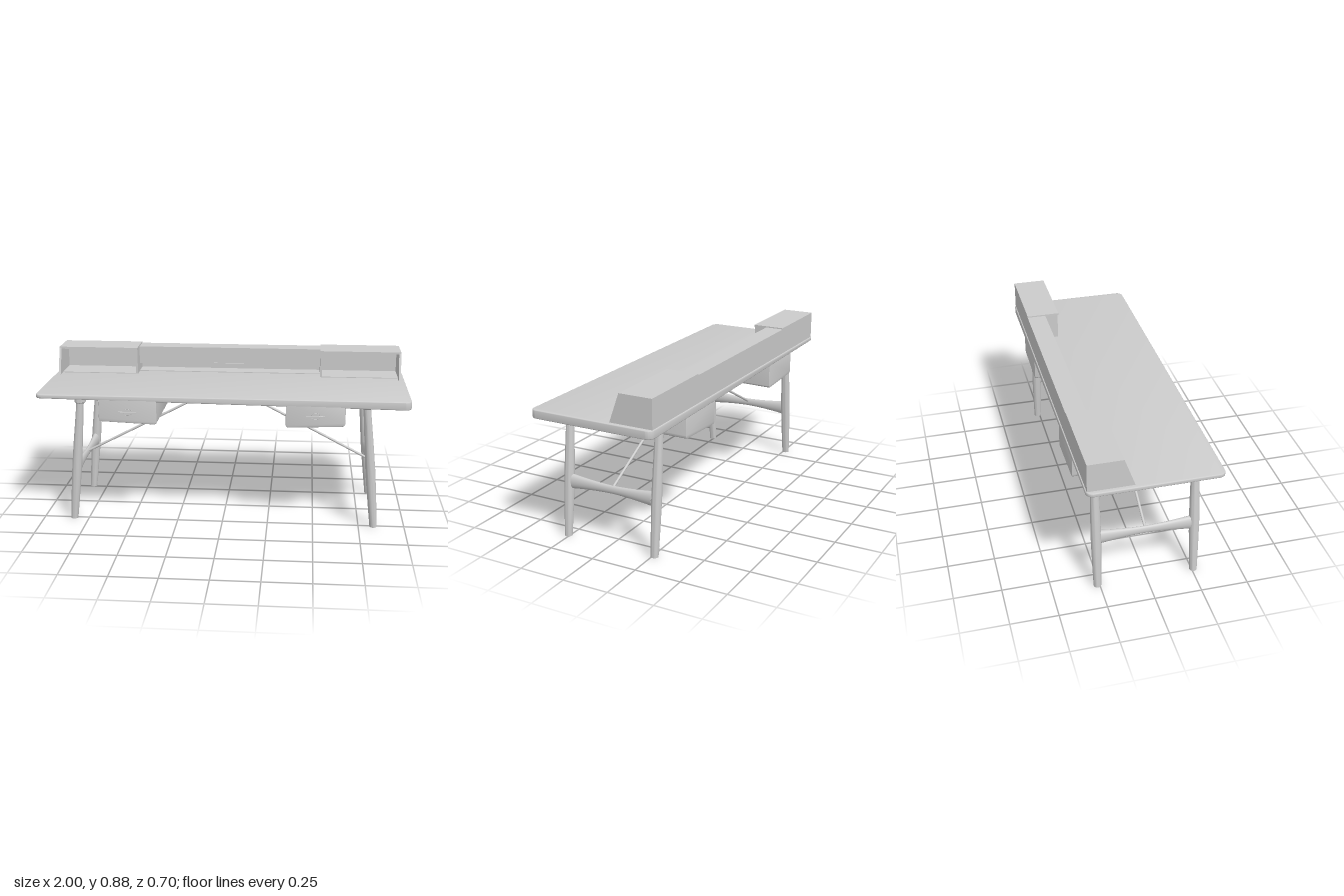
import * as THREE from 'three';
import { toCreasedNormals } from 'three/addons/utils/BufferGeometryUtils.js';

const grey = new THREE.MeshStandardMaterial({ color: 0xcccccc });

function add(parent, name, geometry) {
  const mesh = new THREE.Mesh(geometry, grey);
  mesh.name = name;
  parent.add(mesh);
  return mesh;
}

// Box given by its limits on each axis
function slab(parent, name, [x0, x1], [y0, y1], [z0, z1]) {
  const mesh = add(parent, name, new THREE.BoxGeometry(x1 - x0, y1 - y0, z1 - z0));
  mesh.position.set((x0 + x1) / 2, (y0 + y1) / 2, (z0 + z1) / 2);
  return mesh;
}

function roundedRect(x0, x1, y0, y1, r) {
  const s = new THREE.Shape();
  s.absarc(x1 - r, y1 - r, r, 0, Math.PI / 2);
  s.absarc(x0 + r, y1 - r, r, Math.PI / 2, Math.PI);
  s.absarc(x0 + r, y0 + r, r, Math.PI, Math.PI * 1.5);
  s.absarc(x1 - r, y0 + r, r, Math.PI * 1.5, Math.PI * 2);
  s.closePath();
  return s;
}

// Moves each vertex height by a rule
function reshapeY(geometry, rule) {
  const p = geometry.attributes.position;
  for (let i = 0; i < p.count; i++) p.setY(i, rule(p.getX(i), p.getY(i), p.getZ(i)));
  return toCreasedNormals(geometry, 0.6);
}

// Top with rounded corners, its underside slightly sloped along x
function makeDesktop(group) {
  const b = 0.005;
  const g = new THREE.ExtrudeGeometry(roundedRect(-1 + b, 1 - b, -0.34 + b, 0.35 - b, 0.03), {
    depth: 0.045 - 2 * b, bevelEnabled: true, bevelSize: b, bevelThickness: b, bevelSegments: 3, curveSegments: 8,
  });
  g.rotateX(-Math.PI / 2);
  g.translate(0, 0.687 + b, 0);
  add(group, 'desktop', reshapeY(g, (x, y) => (y < 0.71 ? y + 0.012 * (1 - x) : y)));
}

// Under-desk drawer with rounded lower edges and a slim pull
function makeDrawer(group, side) {
  const drawer = new THREE.Group();
  drawer.name = side > 0 ? 'leftDrawer' : 'rightDrawer';
  const x0 = 0.343, x1 = 0.657, r = 0.02, bottom = 0.58;
  const s = new THREE.Shape();
  s.moveTo(side * x0, 0.715);
  s.lineTo(side * x0, bottom + r);
  s.quadraticCurveTo(side * x0, bottom, side * (x0 + r), bottom);
  s.lineTo(side * (x1 - r), bottom);
  s.quadraticCurveTo(side * x1, bottom, side * x1, bottom + r);
  s.lineTo(side * x1, 0.715);
  s.closePath();
  const g = new THREE.ExtrudeGeometry(s, {
    depth: 0.675, bevelEnabled: true, bevelThickness: 0.006, bevelSize: 0.006, bevelOffset: -0.006, bevelSegments: 2, curveSegments: 6,
  });
  g.translate(0, 0, -0.341);
  add(drawer, 'drawerBox', reshapeY(g, (x, y, z) =>
    (y < 0.65 ? y + 0.04 * (Math.abs(x) - 0.5) + 0.014 * z : y)));
  slab(drawer, 'drawerPull', [side * 0.5 - 0.05, side * 0.5 + 0.05], [0.641, 0.648], [0.335, 0.351]);
  const ring = add(drawer, 'pullRing', new THREE.TorusGeometry(0.024, 0.0015, 6, 28));
  ring.scale.y = 0.75;
  ring.position.set(side * 0.5, 0.645, 0.34);
  group.add(drawer);
}

function rod(parent, name, from, to, radius) {
  const dir = to.clone().sub(from);
  const mesh = add(parent, name, new THREE.CylinderGeometry(radius, radius, dir.length(), 12));
  mesh.position.copy(from).add(to).multiplyScalar(0.5);
  mesh.quaternion.setFromUnitVectors(new THREE.Vector3(0, 1, 0), dir.normalize());
}

// One end frame: two splayed turned legs, a waisted stretcher and a brace
function makeLegFrame(group, side) {
  const frame = new THREE.Group();
  frame.name = side > 0 ? 'leftLegFrame' : 'rightLegFrame';
  const profile = [[0, 0], [0.02, 0], [0.023, 0.1], [0.026, 0.24], [0.027, 0.32], [0.025, 0.45], [0.022, 0.58], [0.02, 0.674]];
  const pts = profile.map(([r, y]) => new THREE.Vector2(r, y));
  const legX = (y) => side * (0.832 - 0.088 * y);
  for (const z of [0.258, -0.262]) {
    const leg = new THREE.LatheGeometry(pts, 24);
    const p = leg.attributes.position;
    for (let i = 0; i < p.count; i++) p.setX(i, p.getX(i) + legX(p.getY(i)));
    leg.computeVertexNormals();
    add(frame, 'leg', toCreasedNormals(leg, 0.6)).position.z = z;
    const collar = add(frame, 'legCollar', toCreasedNormals(new THREE.LatheGeometry(
      [[0, 0], [0.026, 0], [0.031, 0.006], [0.031, 0.044], [0, 0.044]].map((a) => new THREE.Vector2(...a)), 24), 0.6));
    collar.position.set(legX(0.68), 0.671, z);
  }
  const waist = [];
  for (let i = 0; i <= 16; i++) {
    const t = i / 8 - 1;
    waist.push(new THREE.Vector2(0.022 + 0.018 * Math.pow(Math.abs(t), 1.7), t * 0.238));
  }
  const stretcher = add(frame, 'stretcher', new THREE.LatheGeometry(waist, 24).rotateX(Math.PI / 2));
  stretcher.scale.x = 0.55;
  stretcher.position.set(legX(0.301), 0.301, -0.002);
  rod(frame, 'diagonalBrace', new THREE.Vector3(side * 0.035, 0.708, -0.003),
    new THREE.Vector3(side * 0.795, 0.312, -0.003), 0.007);
  group.add(frame);
}

// Upright panel cut from a (z, y) outline and given a thickness along x
function upright(parent, name, outline, x0, x1) {
  const s = new THREE.Shape(outline.map(([z, y]) => new THREE.Vector2(-z, y)));
  const g = new THREE.ExtrudeGeometry(s, { depth: x1 - x0, bevelEnabled: false });
  g.rotateY(Math.PI / 2);
  add(parent, name, g).position.x = x0;
}

// Raised organiser: two open cubbies around a lower, set-back centre
function makeHutch(group) {
  const hutch = new THREE.Group();
  hutch.name = 'hutch';
  const base = 0.73, top = 0.885, back = -0.344, out = 0.978, inn = 0.525, t = 0.012;
  slab(hutch, 'backPanel', [-out, out], [base, 0.874], [back, back + t]);
  for (const side of [1, -1]) {
    const span = (a, b) => (side > 0 ? [a, b] : [-b, -a]);
    upright(hutch, 'slopedEndPanel', [[back, base], [-0.108, base], [-0.162, top - 0.004], [back, top - 0.004]],
      ...span(out - t, out));
    slab(hutch, 'cubbyDivider', span(inn, inn + t), [base, top - 0.004], [back, -0.168]);
    slab(hutch, 'cubbyTop', span(inn, out), [top - t, top], [back, -0.163]);
    slab(hutch, 'cubbyFloor', span(inn + t, out - t), [base, base + 0.006], [back + t, -0.168]);
  }
  slab(hutch, 'centreTop', [-inn, inn], [0.866, 0.878], [back, -0.24]);
  slab(hutch, 'centreShelf', [-inn, inn], [0.778, 0.787], [back + t, -0.244]);
  slab(hutch, 'centreFlap', [-inn, inn], [0.78, 0.868], [-0.255, -0.243]);
  slab(hutch, 'centreFloor', [-inn, inn], [base, base + 0.006], [back + t, -0.24]);
  slab(hutch, 'flapPull', [-0.09, 0.086], [0.779, 0.788], [-0.245, -0.234]);
  group.add(hutch);
}

export function createModel() {
  const group = new THREE.Group();
  group.name = 'writingDesk';
  makeDesktop(group);
  makeHutch(group);
  for (const side of [1, -1]) {
    makeDrawer(group, side);
    makeLegFrame(group, side);
  }
  return group;
}
